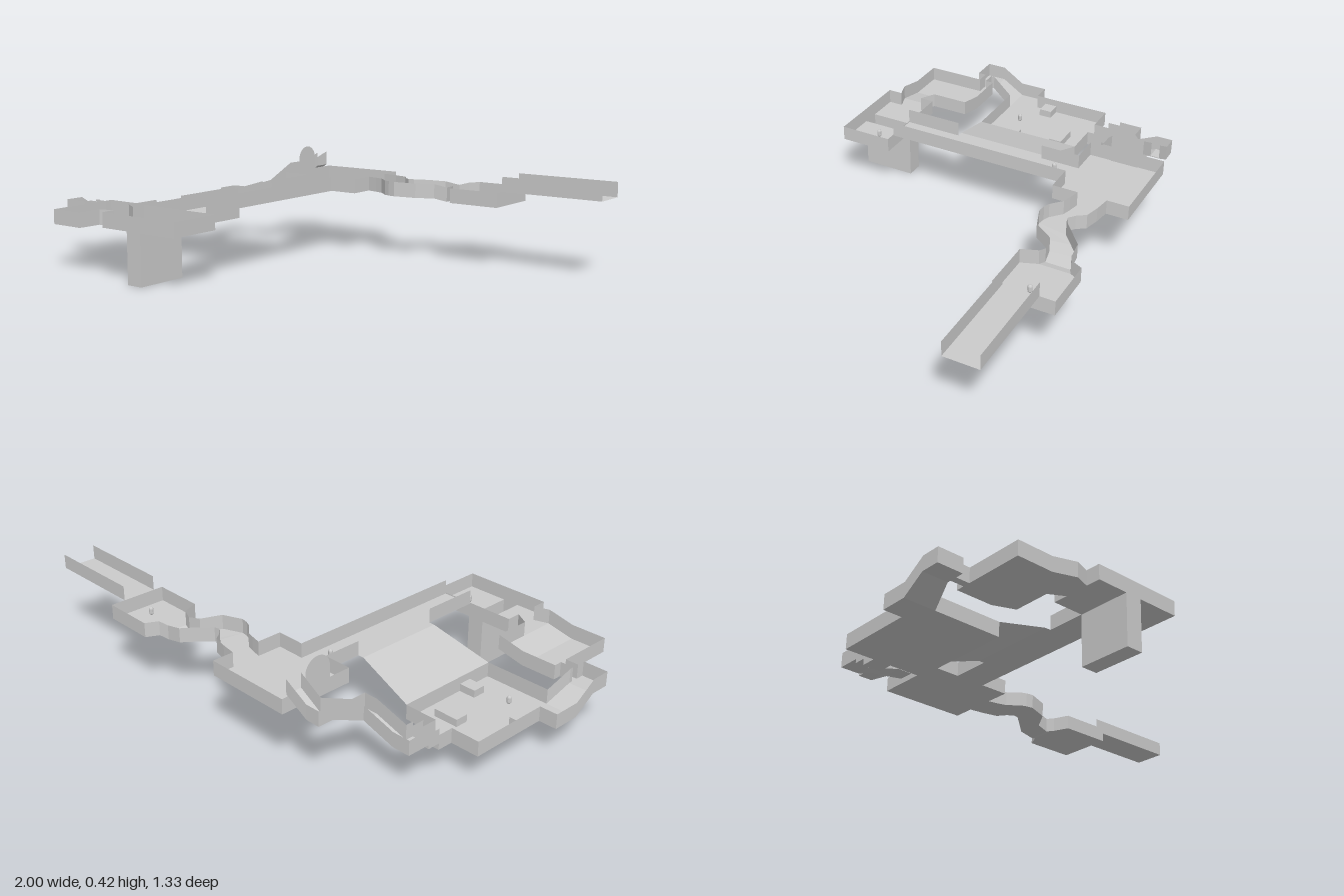
import * as THREE from 'three';

const H = 0.06; // wall height
const mat = new THREE.MeshStandardMaterial({ color: 0xcccccc, flatShading: true, side: THREE.DoubleSide });

// Mesh from a list of four-cornered faces
function quads(name, faces) {
  const pos = [];
  for (const [a, b, c, d] of faces) pos.push(...a, ...b, ...c, ...a, ...c, ...d);
  const g = new THREE.BufferGeometry();
  g.setAttribute('position', new THREE.Float32BufferAttribute(pos, 3));
  g.computeVertexNormals();
  const m = new THREE.Mesh(g, mat);
  m.name = name;
  return m;
}

// Upright face between two floor points
const wallFace = ([x1, z1], y1, [x2, z2], y2 = y1, h = H) =>
  [[x1, y1, z1], [x2, y2, z2], [x2, y2 + h, z2], [x1, y1 + h, z1]];

// Level floor with a wall on each outline edge that is not open
function room(name, pts, y, open = [], h = H) {
  const group = new THREE.Group();
  group.name = name;
  const shape = new THREE.Shape(pts.map(([x, z]) => new THREE.Vector2(x, -z)));
  const floor = new THREE.Mesh(new THREE.ShapeGeometry(shape).rotateX(-Math.PI / 2), mat);
  floor.position.y = y;
  floor.name = name + 'Floor';
  const faces = [];
  pts.forEach((p, i) => {
    if (!open.includes(i)) faces.push(wallFace(p, y, pts[(i + 1) % pts.length], y, h));
  });
  group.add(floor, quads(name + 'Walls', faces));
  return group;
}

// Passage through sections [x1, z1, x2, z2, y], with a wall on both sides
function passage(name, sections, walls = true) {
  const faces = [];
  for (let i = 1; i < sections.length; i++) {
    const [ax, az, bx, bz, y] = sections[i - 1];
    const [cx, cz, dx, dz, v] = sections[i];
    faces.push([[ax, y, az], [bx, y, bz], [dx, v, dz], [cx, v, cz]]);
    if (!walls) continue;
    if (ax !== cx || az !== cz) faces.push(wallFace([ax, az], y, [cx, cz], v));
    if (bx !== dx || bz !== dz) faces.push(wallFace([bx, bz], y, [dx, dz], v));
  }
  return quads(name, faces);
}

const rect = (x1, z1, x2, z2) => [[x1, z1], [x2, z1], [x2, z2], [x1, z2]];

export function createModel() {
  const model = new THREE.Group();
  model.name = 'dungeon';

  // Entrance corridor dropping into the first chamber
  model.add(passage('entranceCorridor', [[1, -0.6, 1, -0.46, 0.31], [0.575, -0.6, 0.575, -0.46, 0.31]]));
  model.add(room('firstChamber', [[0.36, -0.66], [0.575, -0.66], [0.575, -0.42], [0.36, -0.42],
    [0.335, -0.485], [0.335, -0.61]], 0.25, [4]));

  // Winding cave tunnel
  model.add(passage('caveTunnel', [
    [0.335, -0.61, 0.335, -0.485, 0.25], [0.30, -0.595, 0.30, -0.495, 0.24],
    [0.235, -0.59, 0.245, -0.485, 0.25], [0.18, -0.54, 0.2, -0.41, 0.257],
    [0.135, -0.5, 0.115, -0.38, 0.26], [0.11, -0.495, 0.085, -0.385, 0.26],
    [0.085, -0.515, 0.06, -0.395, 0.26], [0.06, -0.55, 0.015, -0.435, 0.26],
    [0, -0.565, -0.02, -0.445, 0.26], [-0.065, -0.575, -0.065, -0.455, 0.26]]));

  // Great chamber and long hall on one level
  model.add(room('greatChamber', [[-0.435, -0.665], [-0.065, -0.665], [-0.065, -0.575], [-0.065, -0.455],
    [-0.065, -0.35], [-0.185, -0.35], [-0.315, -0.35], [-0.435, -0.35]], 0.26, [2, 5]));
  model.add(room('longHall', [[-0.315, -0.35], [-0.185, -0.35], [-0.185, 0.44], [-0.315, 0.44],
    [-0.315, 0.2], [-0.315, -0.185]], 0.26, [0, 2, 4]));

  // Arched slab on the chamber wall
  const arch = new THREE.Shape();
  arch.moveTo(-0.0575, 0);
  arch.lineTo(0.0575, 0);
  arch.absarc(0, 0.105, 0.0575, 0, Math.PI, false);
  const slab = new THREE.Mesh(new THREE.ShapeGeometry(arch, 16).rotateY(Math.PI / 2), mat);
  slab.position.set(-0.432, 0.26, -0.4975);
  slab.name = 'archedSlab';
  model.add(slab);

  // Open slope from the hall down to the lower chamber
  model.add(passage('openSlope', [[-0.315, -0.185, -0.315, 0.2, 0.26], [-0.34, -0.185, -0.34, 0.2, 0.26],
    [-0.59, -0.215, -0.59, 0.235, 0.18]], false));

  // Lower chamber with blocks
  model.add(room('lowerChamber', [[-0.925, -0.215], [-0.805, -0.215], [-0.73, -0.215], [-0.59, -0.215],
    [-0.59, 0.235], [-0.87, 0.235], [-1, 0.235], [-1, 0.12], [-0.925, 0.12]], 0.12, [1, 5]));
  for (const [x1, z1, x2, z2] of [[-0.75, -0.125, -0.645, -0.07], [-0.925, 0.025, -0.865, 0.08],
    [-0.66, 0.075, -0.59, 0.13]]) {
    const block = new THREE.Mesh(new THREE.BoxGeometry(x2 - x1, 0.03, z2 - z1), mat);
    block.position.set((x1 + x2) / 2, 0.135, (z1 + z2) / 2);
    block.name = 'block';
    model.add(block);
  }

  // Steps, landing and ramps back up to the great chamber
  model.add(passage('steps', [
    [-0.805, -0.215, -0.73, -0.215, 0.12], [-0.805, -0.28, -0.73, -0.28, 0.12],
    [-0.805, -0.28, -0.73, -0.28, 0.146], [-0.805, -0.332, -0.73, -0.332, 0.146],
    [-0.805, -0.332, -0.73, -0.332, 0.163], [-0.805, -0.365, -0.73, -0.365, 0.163]]));
  model.add(room('landing', rect(-0.805, -0.43, -0.73, -0.365), 0.163, [1, 2]));
  model.add(passage('sideRamp', [[-0.73, -0.43, -0.73, -0.365, 0.163], [-0.59, -0.43, -0.59, -0.365, 0.205]]));
  model.add(room('lowerBend', rect(-0.59, -0.43, -0.53, -0.365), 0.205, [0, 3]));
  model.add(passage('steepRamp', [[-0.59, -0.43, -0.53, -0.43, 0.205], [-0.59, -0.575, -0.53, -0.575, 0.27]]));
  model.add(room('upperBend', rect(-0.59, -0.64, -0.53, -0.575), 0.27, [1, 2]));
  model.add(passage('upperRamp', [[-0.53, -0.64, -0.53, -0.575, 0.27], [-0.432, -0.642, -0.432, -0.575, 0.328]]));

  // Ramp, corner and narrow doorway towards the front
  model.add(passage('cornerRamp', [[-1, 0.235, -0.87, 0.235, 0.12], [-1, 0.33, -0.895, 0.33, 0.18]]));
  model.add(room('corner', [[-1, 0.33], [-0.895, 0.33], [-0.895, 0.345], [-0.895, 0.375],
    [-0.895, 0.41], [-1, 0.41]], 0.18, [0, 2]));
  model.add(passage('doorway', [[-0.895, 0.345, -0.895, 0.375, 0.18], [-0.84, 0.345, -0.84, 0.375, 0.18]]));

  // Front chamber rising to the pit room
  model.add(passage('frontChamber', [
    [-0.84, 0.31, -0.84, 0.62, 0.18], [-0.69, 0.31, -0.69, 0.62, 0.18],
    [-0.575, 0.31, -0.575, 0.62, 0.205], [-0.575, 0.465, -0.575, 0.62, 0.205],
    [-0.515, 0.5, -0.515, 0.6, 0.205]]));
  model.add(quads('frontChamberEndWall', [
    wallFace([-0.84, 0.31], 0.18, [-0.84, 0.345]), wallFace([-0.84, 0.375], 0.18, [-0.84, 0.62])]));

  // Pit room: two ledges on either side of a deep pit
  model.add(room('pitRoomLedge', [[-0.515, 0.44], [-0.385, 0.44], [-0.385, 0.66], [-0.515, 0.66],
    [-0.515, 0.6], [-0.515, 0.5]], 0.205, [1, 4]));
  model.add(room('pitRoomFarLedge', rect(-0.315, 0.44, -0.14, 0.66), 0.205, [3]));
  model.add(room('pit', rect(-0.385, 0.44, -0.315, 0.66), 0, [], 0.205));
  model.add(quads('pitRoomWalls', [0.44, 0.66].map(z => wallFace([-0.385, z], 0.205, [-0.315, z]))));

  // Small standing figures
  for (const [x, y, z] of [[0.5, 0.25, -0.53], [-0.255, 0.26, -0.27], [-0.23, 0.205, 0.54], [-0.775, 0.12, 0.135]]) {
    const figure = new THREE.Mesh(new THREE.CapsuleGeometry(0.009, 0.016, 4, 10), mat);
    figure.position.set(x, y + 0.017, z);
    figure.name = 'figure';
    model.add(figure);
  }
  return model;
}
